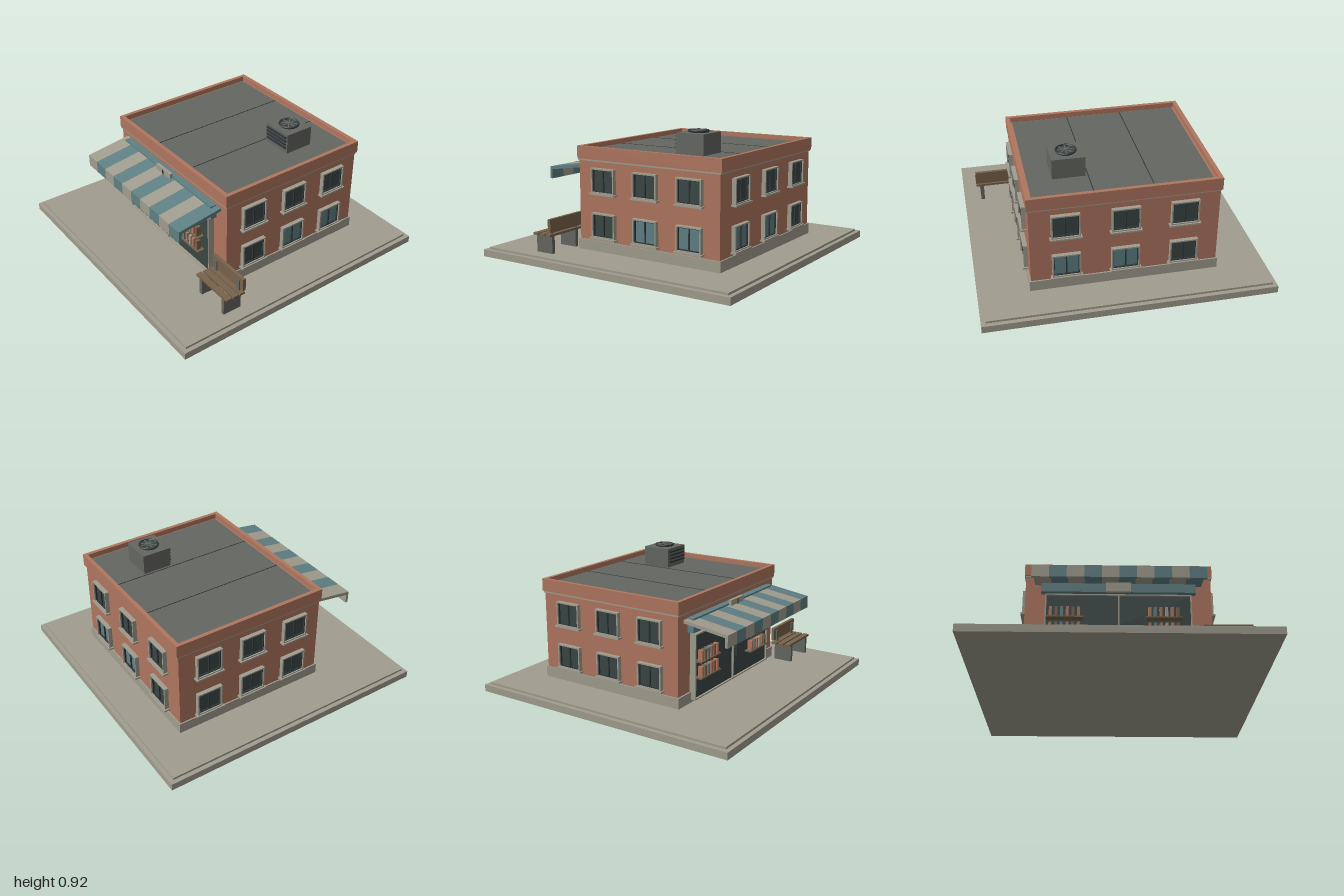
import * as THREE from 'three';

const mat = (name, color) => {
  const m = new THREE.MeshStandardMaterial({ color });
  m.name = name;
  return m;
};

export function createModel() {
  const brick = mat('brick', 0xb0765f);
  const stone = mat('stone', 0xa19d8f);
  const roofGrey = mat('roofGrey', 0x646761);
  const teal = mat('teal', 0x5f8084);
  const glass = mat('darkGlass', 0x3a4745);
  const wood = mat('wood', 0x78634b);
  const dark = mat('darkMetal', 0x30373a);

  const root = new THREE.Group();
  root.name = 'cornerShop';

  const group = (name, parent = root) => {
    const g = new THREE.Group();
    g.name = name;
    parent.add(g);
    return g;
  };
  // Box given by its limits on each axis
  const box = (name, m, [x0, x1], [y0, y1], [z0, z1], parent = root) => {
    const mesh = new THREE.Mesh(new THREE.BoxGeometry(x1 - x0, y1 - y0, z1 - z0), m);
    mesh.position.set((x0 + x1) / 2, (y0 + y1) / 2, (z0 + z1) / 2);
    mesh.name = name;
    parent.add(mesh);
    return mesh;
  };
  // Upright rectangular frame in the xy plane
  const frame = (name, m, [x0, x1], [y0, y1], z, t, parent) => {
    const g = group(name, parent);
    box('leftBar', m, [x0, x0 + t], [y0, y1], z, g);
    box('rightBar', m, [x1 - t, x1], [y0, y1], z, g);
    box('bottomBar', m, [x0 + t, x1 - t], [y0, y0 + t], z, g);
    box('topBar', m, [x0 + t, x1 - t], [y1 - t, y1], z, g);
    return g;
  };

  // Ground slab
  box('slab', stone, [-1, 1], [0, 0.05], [-1, 1]);
  box('paving', stone, [-0.97, 0.97], [0.05, 0.065], [-0.97, 0.97]);

  // Walls, plinth and cornice
  box('plinth', stone, [-0.65, 0.65], [0.06, 0.14], [-0.725, 0.422]);
  box('walls', brick, [-0.64, 0.64], [0.14, 0.69], [-0.715, 0.41]);
  box('cornice', stone, [-0.645, 0.645], [0.69, 0.702], [-0.722, 0.418]);

  // Parapet ring around the flat roof
  const rect = (C, x, z0, z1) => {
    const s = new C();
    s.moveTo(-x, -z1).lineTo(x, -z1).lineTo(x, -z0).lineTo(-x, -z0).closePath();
    return s;
  };
  const ring = rect(THREE.Shape, 0.65, -0.73, 0.422);
  ring.holes.push(rect(THREE.Path, 0.622, -0.702, 0.394));
  const parapet = new THREE.Mesh(
    new THREE.ExtrudeGeometry(ring, { depth: 0.088, bevelEnabled: false }), brick);
  parapet.rotation.x = -Math.PI / 2;
  parapet.position.y = 0.702;
  parapet.name = 'parapet';
  root.add(parapet);
  box('roofEdge', brick, [-0.622, 0.622], [0.702, 0.752], [-0.702, 0.394]);
  box('roof', roofGrey, [-0.605, 0.605], [0.702, 0.76], [-0.685, 0.377]);
  for (const x of [-0.2, 0.2])
    box('roofSeam', dark, [x - 0.003, x + 0.003], [0.76, 0.762], [-0.685, 0.377]);

  // Window facing local +z with its wall at z = 0
  const addWindow = (x, y, z, turn, pane) => {
    const g = group('window');
    g.position.set(x, y, z);
    g.rotation.y = turn;
    box('pane', pane, [-0.085, 0.085], [-0.08, 0.08], [0, 0.008], g);
    frame('casing', stone, [-0.096, 0.096], [-0.085, 0.088], [0, 0.03], 0.01, g);
    frame('sash', dark, [-0.086, 0.086], [-0.075, 0.078], [0, 0.02], 0.006, g);
    box('mullion', dark, [-0.004, 0.004], [-0.072, 0.075], [0, 0.018], g);
    box('sill', stone, [-0.107, 0.107], [-0.095, -0.083], [0, 0.04], g);
  };
  const columns = [
    // [right side z, back x, right lower pane, back lower pane]
    [0.195, -0.4, glass, glass],
    [-0.15, 0, teal, teal],
    [-0.495, 0.4, teal, teal],
  ];
  for (const [z, x, sidePane, backPane] of columns) {
    for (const y of [0.25, 0.56]) {
      const low = y < 0.4;
      addWindow(0.64, y, z, Math.PI / 2, low ? sidePane : glass);
      addWindow(-0.64, y, z, -Math.PI / 2, glass);
      addWindow(x, y, -0.715, Math.PI, low ? backPane : glass);
    }
  }

  // Glazed shop front
  const shop = group('shopFront');
  box('shopGlass', glass, [-0.495, 0.495], [0.09, 0.54], [0.41, 0.442], shop);
  frame('shopFrame', stone, [-0.5, 0.5], [0.085, 0.545], [0.41, 0.456], 0.009, shop);
  box('centrePost', stone, [-0.005, 0.005], [0.09, 0.54], [0.44, 0.456], shop);
  box('doorHandle', dark, [0.037, 0.043], [0.25, 0.33], [0.442, 0.462], shop);

  // Display shelves with goods
  const goods = [brick, wood, teal, brick, wood, brick];
  const goodsRight = [brick, teal, brick, stone, brick, wood];
  for (const [x0, colours] of [[-0.49, goods], [0.18, goodsRight]]) {
    for (const y of [0.35, 0.235]) {
      const g = group('shelf', shop);
      box('shelfBoard', wood, [x0, x0 + 0.25], [y, y + 0.01], [0.442, 0.497], g);
      colours.forEach((m, i) => {
        const x = x0 + 0.02 + i * 0.038;
        box('goods', m, [x, x + 0.02], [y + 0.01, y + 0.082], [0.455, 0.49], g);
      });
    }
  }

  // Striped awning: one sloped, folded profile per stripe
  const awning = group('awning');
  const profile = new THREE.Shape([
    [0.41, 0.655], [0.74, 0.608], [0.74, 0.522], [0.72, 0.522], [0.72, 0.588], [0.41, 0.633],
  ].map(([z, y]) => new THREE.Vector2(-z, y)));
  const stripe = new THREE.ExtrudeGeometry(profile, { depth: 0.115, bevelEnabled: false });
  stripe.rotateY(Math.PI / 2);
  for (let i = 0; i < 10; i++) {
    const mesh = new THREE.Mesh(stripe, i % 2 ? teal : stone);
    mesh.position.x = -0.575 + i * 0.115;
    mesh.name = 'awningStripe';
    awning.add(mesh);
  }
  box('awningHousing', teal, [-0.53, 0.53], [0.56, 0.66], [0.41, 0.458], awning);
  box('signPlate', stone, [-0.085, 0.085], [0.555, 0.685], [0.455, 0.478], awning);
  box('signBracket', dark, [-0.004, 0.004], [0.64, 0.68], [0.478, 0.482], awning);

  // Bench
  const bench = group('bench');
  for (const z of [0.46, 0.512, 0.567])
    box('seatSlat', wood, [0.572, 0.905], [0.19, 0.206], [z, z + 0.042], bench);
  box('backrest', wood, [0.572, 0.905], [0.218, 0.312], [0.455, 0.478], bench);
  for (const x of [0.605, 0.848]) {
    box('benchLeg', roofGrey, [x, x + 0.026], [0.065, 0.19], [0.47, 0.608], bench);
    box('backSupport', roofGrey, [x, x + 0.026], [0.18, 0.29], [0.478, 0.486], bench);
  }

  // Rooftop cooling unit
  const unit = group('coolingUnit');
  box('unitCase', roofGrey, [0.218, 0.442], [0.76, 0.902], [-0.468, -0.255], unit);
  for (let i = 0; i < 4; i++) {
    const y = 0.794 + i * 0.026;
    box('louvre', dark, [0.23, 0.43], [y, y + 0.012], [-0.255, -0.244], unit);
  }
  const fan = group('fan', unit);
  fan.position.set(0.33, 0.902, -0.362);
  const disc = new THREE.Mesh(new THREE.CylinderGeometry(0.066, 0.066, 0.008, 24), glass);
  disc.name = 'fanWell';
  disc.position.y = 0.004;
  const rim = new THREE.Mesh(new THREE.TorusGeometry(0.066, 0.007, 8, 28), dark);
  rim.name = 'fanRim';
  rim.rotation.x = Math.PI / 2;
  rim.position.y = 0.01;
  const hub = new THREE.Mesh(new THREE.CylinderGeometry(0.014, 0.014, 0.016, 12), roofGrey);
  hub.name = 'fanHub';
  hub.position.y = 0.01;
  fan.add(disc, rim, hub);
  for (let i = 0; i < 4; i++)
    box('fanSpoke', roofGrey, [-0.064, 0.064], [0.008, 0.014], [-0.004, 0.004], fan)
      .rotation.y = i * Math.PI / 4;

  return root;
}
